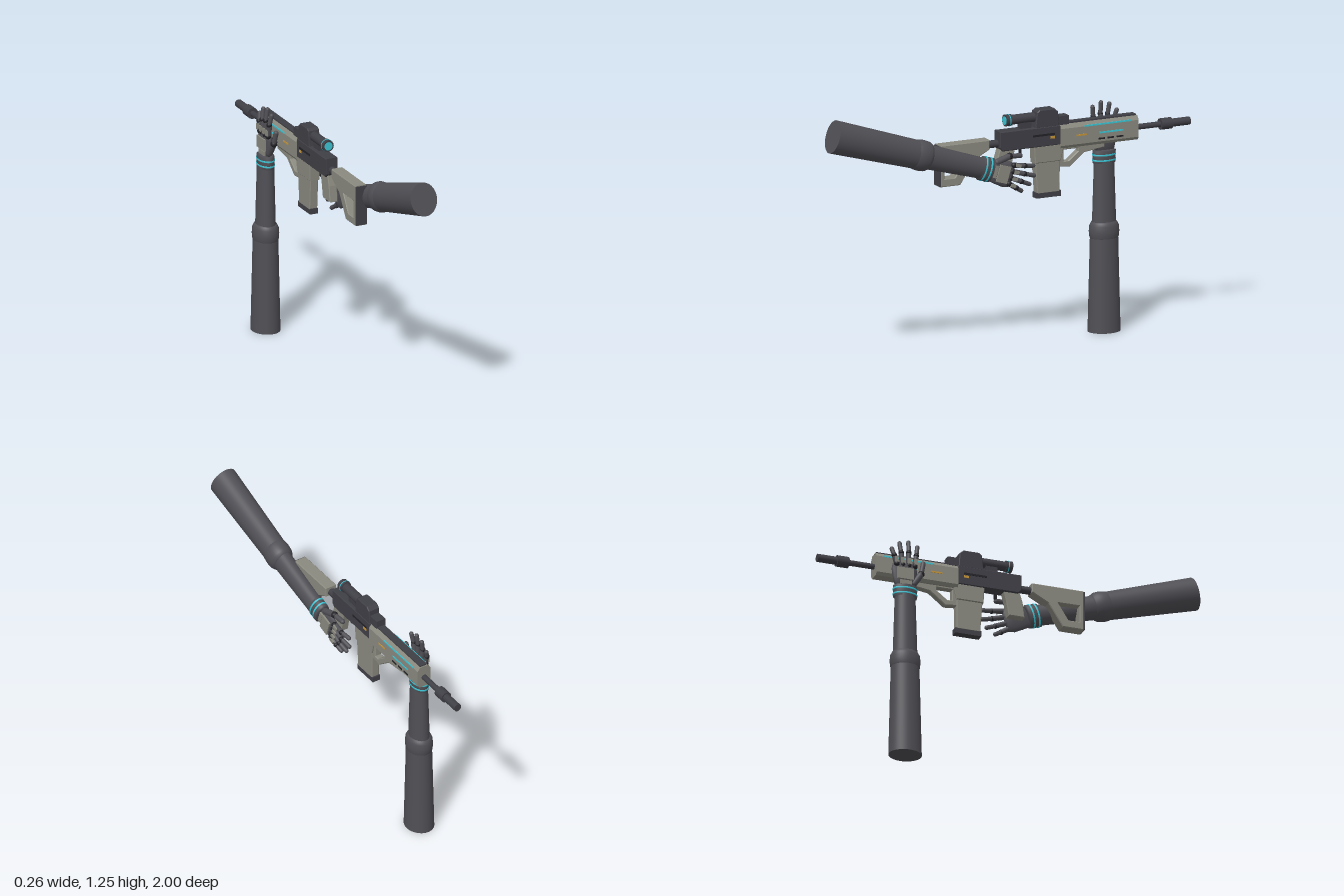
import * as THREE from 'three';

const paint = (name, color) => Object.assign(new THREE.MeshStandardMaterial({ color }), { name });

export function createModel() {
  const sleeve = paint('sleeve grey', 0x504f55);
  const metal = paint('dark metal', 0x3f3f46);
  const shell = paint('warm grey shell', 0x8b8a80);
  const black = paint('black', 0x232328);
  const cyan = paint('cyan light', 0x3cc6d6);
  const amber = paint('amber mark', 0xc8963a);

  const model = new THREE.Group();
  const add = (parent, name, geo, mat, x = 0, y = 0, z = 0) => {
    const m = new THREE.Mesh(geo, mat);
    m.name = name;
    m.position.set(x, y, z);
    parent.add(m);
    return m;
  };
  const box = (p, name, w, h, d, mat, x, y, z) => add(p, name, new THREE.BoxGeometry(w, h, d), mat, x, y, z);
  const polygon = (pts) => pts.map(([a, b]) => new THREE.Vector2(a, b));
  // Side outline given as [z, y], given a thickness along x
  const side = (p, name, pts, width, mat, hole) => {
    const s = new THREE.Shape(polygon(pts));
    if (hole) s.holes.push(new THREE.Path(polygon(hole)));
    const b = 0.004;
    const g = new THREE.ExtrudeGeometry(s, { depth: width - 2 * b, bevelThickness: b, bevelSize: b, bevelOffset: -b, bevelSegments: 1 });
    g.translate(0, 0, -width / 2 + b).rotateY(-Math.PI / 2);
    return add(p, name, g, mat);
  };
  // Front outline given as [x, y], swept from z0 to z1
  const bar = (p, name, pts, z0, z1, mat) => {
    const g = new THREE.ExtrudeGeometry(new THREE.Shape(polygon(pts)), { depth: z1 - z0, bevelEnabled: false });
    return add(p, name, g, mat, 0, 0, z0);
  };
  // Round rod along z
  const rod = (p, name, r, z0, z1, y, mat) =>
    add(p, name, new THREE.CylinderGeometry(r, r, z1 - z0, 24).rotateX(Math.PI / 2), mat, 0, y, (z0 + z1) / 2);

  // ---------- Rifle ----------
  const gun = new THREE.Group();
  gun.name = 'rifle';
  gun.position.x = 0.005;
  model.add(gun);

  rod(gun, 'barrel', 0.014, -0.9, -0.68, 1.015, metal);
  rod(gun, 'muzzleCollar', 0.028, -0.9, -0.84, 1.015, metal);
  rod(gun, 'muzzle', 0.02, -1, -0.89, 1.015, metal);
  rod(gun, 'bufferTube', 0.019, 0.04, 0.13, 1.018, metal);

  bar(gun, 'handguard', [[-0.026, 0.96], [0.026, 0.96], [0.037, 0.975], [0.037, 1.06], [0.022, 1.08], [-0.022, 1.08], [-0.037, 1.06], [-0.037, 0.975]], -0.705, -0.28, shell);
  box(gun, 'topRail', 0.038, 0.012, 0.43, metal, 0, 1.081, -0.485);
  side(gun, 'receiver', [[0.05, 1.0], [0.035, 0.982], [-0.3, 0.982], [-0.28, 1.08], [0.05, 1.08]], 0.064, metal);
  box(gun, 'receiverRearCollar', 0.058, 0.07, 0.03, metal, 0, 1.04, 0.035);
  side(gun, 'magazineWell', [[-0.14, 0.985], [-0.145, 0.9], [-0.285, 0.9], [-0.3, 0.96], [-0.3, 0.985]], 0.056, shell);

  // Magazine
  side(gun, 'magazine', [[-0.145, 0.95], [-0.16, 0.745], [-0.282, 0.745], [-0.285, 0.95]], 0.044, shell);
  box(gun, 'magazineBase', 0.042, 0.028, 0.135, metal, 0, 0.737, -0.222);

  // Angled brace under the handguard
  side(gun, 'angledBrace',
    [[-0.28, 0.97], [-0.28, 0.868], [-0.34, 0.862], [-0.42, 0.925], [-0.53, 0.94], [-0.53, 0.97]], 0.036, shell,
    [[-0.305, 0.95], [-0.385, 0.95], [-0.385, 0.935], [-0.33, 0.893], [-0.305, 0.893]]);

  // Grip and trigger
  side(gun, 'pistolGrip', [[0.045, 0.99], [-0.04, 0.99], [-0.025, 0.93], [-0.012, 0.86], [0.07, 0.86], [0.06, 0.94]], 0.044, shell);
  box(gun, 'trigger', 0.01, 0.04, 0.012, black, 0, 0.965, -0.075);

  // Skeleton stock
  side(gun, 'stock',
    [[0.374, 1.048], [0.105, 1.048], [0.105, 1.0], [0.19, 0.955], [0.265, 0.84], [0.374, 0.84]], 0.062, shell,
    [[0.352, 0.965], [0.24, 0.965], [0.295, 0.88], [0.352, 0.88]]);
  box(gun, 'buttPad', 0.058, 0.2, 0.008, metal, 0, 0.944, 0.376);

  // Sight
  rod(gun, 'scopeTube', 0.024, -0.15, 0, 1.128, metal);
  rod(gun, 'scopeEyepiece', 0.029, -0.025, 0.008, 1.128, metal);
  rod(gun, 'scopeLens', 0.021, 0.006, 0.011, 1.128, cyan);
  add(gun, 'scopeRing', new THREE.TorusGeometry(0.0285, 0.0025, 8, 32), cyan, 0, 1.128, -0.012);
  box(gun, 'scopeMount', 0.03, 0.04, 0.06, metal, 0, 1.09, -0.1);
  side(gun, 'sightBody', [[-0.145, 1.075], [-0.155, 1.155], [-0.17, 1.166], [-0.25, 1.166], [-0.27, 1.148], [-0.275, 1.075]], 0.06, metal);
  box(gun, 'sightFoot', 0.05, 0.044, 0.06, metal, 0, 1.1, -0.3);

  // Flush lights, marks and vents on both sides
  for (const s of [-1, 1]) {
    const strip = (name, mat, x, y, z0, z1, h = 0.008) =>
      box(gun, name, 0.003, h, z1 - z0, mat, s * x, y, (z0 + z1) / 2);
    strip('longLight', cyan, 0.0365, 1.062, -0.665, -0.41);
    strip('shortLight', cyan, 0.038, 1.02, -0.62, -0.49);
    strip('amberMark', amber, 0.038, 1.02, -0.42, -0.365);
    strip('receiverMark', amber, 0.033, 1.024, -0.25, -0.225, 0.012);
    strip('ejectionSlot', black, 0.033, 1.04, -0.25, -0.13, 0.01);
    for (let i = 0; i < 3; i++) strip('vent', black, 0.038, 0.99, -0.62 + i * 0.05, -0.585 + i * 0.05);
  }

  // ---------- Arms: built upright, s is the side the back of the hand faces ----------
  const lathe = (p, name, pts, squash, mat) =>
    add(p, name, new THREE.LatheGeometry(polygon(pts), 40).scale(squash, 1, 1), mat);
  const up = new THREE.Vector3(0, 1, 0);
  const limb = (p, name, a, b, r, mat) => {
    const d = b.clone().sub(a);
    const m = add(p, name, new THREE.CapsuleGeometry(r, d.length(), 4, 12), mat);
    m.position.copy(a).add(b).multiplyScalar(0.5);
    m.quaternion.setFromUnitVectors(up, d.normalize());
  };

  const makeArm = (name, s) => {
    const arm = new THREE.Group();
    arm.name = name;
    const cap = add(arm, 'upperArmEnd', new THREE.CircleGeometry(0.083, 40).rotateX(Math.PI / 2), sleeve);
    cap.geometry.scale(0.85, 1, 1);
    lathe(arm, 'upperArm', [[0.083, 0], [0.071, 0.48]], 0.85, sleeve);
    lathe(arm, 'elbow', [[0.068, 0.462], [0.074, 0.472], [0.077, 0.5], [0.074, 0.53], [0.066, 0.545], [0.058, 0.55]], 0.84, sleeve);
    lathe(arm, 'forearm', [[0.062, 0.53], [0.052, 0.85]], 0.77, sleeve);
    lathe(arm, 'cuff', [[0.045, 0.842], [0.06, 0.842], [0.061, 0.902], [0.045, 0.906], [0, 0.906]], 0.64, sleeve);
    for (const y of [0.857, 0.884])
      lathe(arm, 'cuffLight', [[0.0595, y - 0.004], [0.0625, y - 0.004], [0.0625, y + 0.004], [0.0595, y + 0.004]], 0.65, cyan);

    // Palm with plates on its back
    const palm = lathe(arm, 'palm', [[0, 0.89], [0.048, 0.895], [0.058, 0.94], [0.066, 0.99], [0.06, 1.02], [0, 1.03]], 0.3, sleeve);
    palm.position.z = -0.004;
    box(arm, 'handPlate', 0.009, 0.06, 0.085, shell, s * 0.021, 0.965, -0.005);
    box(arm, 'wristPlate', 0.009, 0.022, 0.06, shell, s * 0.018, 0.919, -0.002);

    // Fingers: [base z, tip z, tip height]
    const fingers = [[0.047, 0.064, 1.125], [0.016, 0.018, 1.143], [-0.016, -0.028, 1.132], [-0.046, -0.068, 1.097]];
    for (const [z0, z1, top] of fingers) {
      const at = (t, x) => new THREE.Vector3(s * x, THREE.MathUtils.lerp(1.015, top, t), THREE.MathUtils.lerp(z0, z1, t));
      limb(arm, 'fingerBase', at(0, 0.004), at(0.55, 0.006), 0.0125, sleeve);
      limb(arm, 'fingerTip', at(0.55, 0.006), at(1, -0.002), 0.011, sleeve);
      add(arm, 'knuckle', new THREE.SphereGeometry(0.015, 14, 10), black).position.copy(at(0, 0.008));
      add(arm, 'fingerJoint', new THREE.SphereGeometry(0.0135, 14, 10), black).position.copy(at(0.55, 0.007));
      box(arm, 'fingerPlate', 0.008, 0.03, 0.016, shell, s * 0.018, 1.035, THREE.MathUtils.lerp(z0, z1, 0.2));
    }

    // Thumb
    const thumb = [[0, 0.925, 0.045], [-0.004, 0.985, 0.085], [-0.01, 1.045, 0.098]].map(([x, y, z]) => new THREE.Vector3(s * x, y, z));
    limb(arm, 'thumbBase', thumb[0], thumb[1], 0.016, sleeve);
    limb(arm, 'thumbTip', thumb[1], thumb[2], 0.0125, sleeve);
    add(arm, 'thumbJoint', new THREE.SphereGeometry(0.017, 14, 10), black).position.copy(thumb[1]);
    model.add(arm);
    return arm;
  };

  makeArm('frontArm', -1).position.set(-0.058, 0, -0.567);
  const rear = makeArm('rearArm', 1);
  rear.position.set(0.056, 1.166, 0.973);
  rear.rotation.x = -1.867;

  return model;
}
